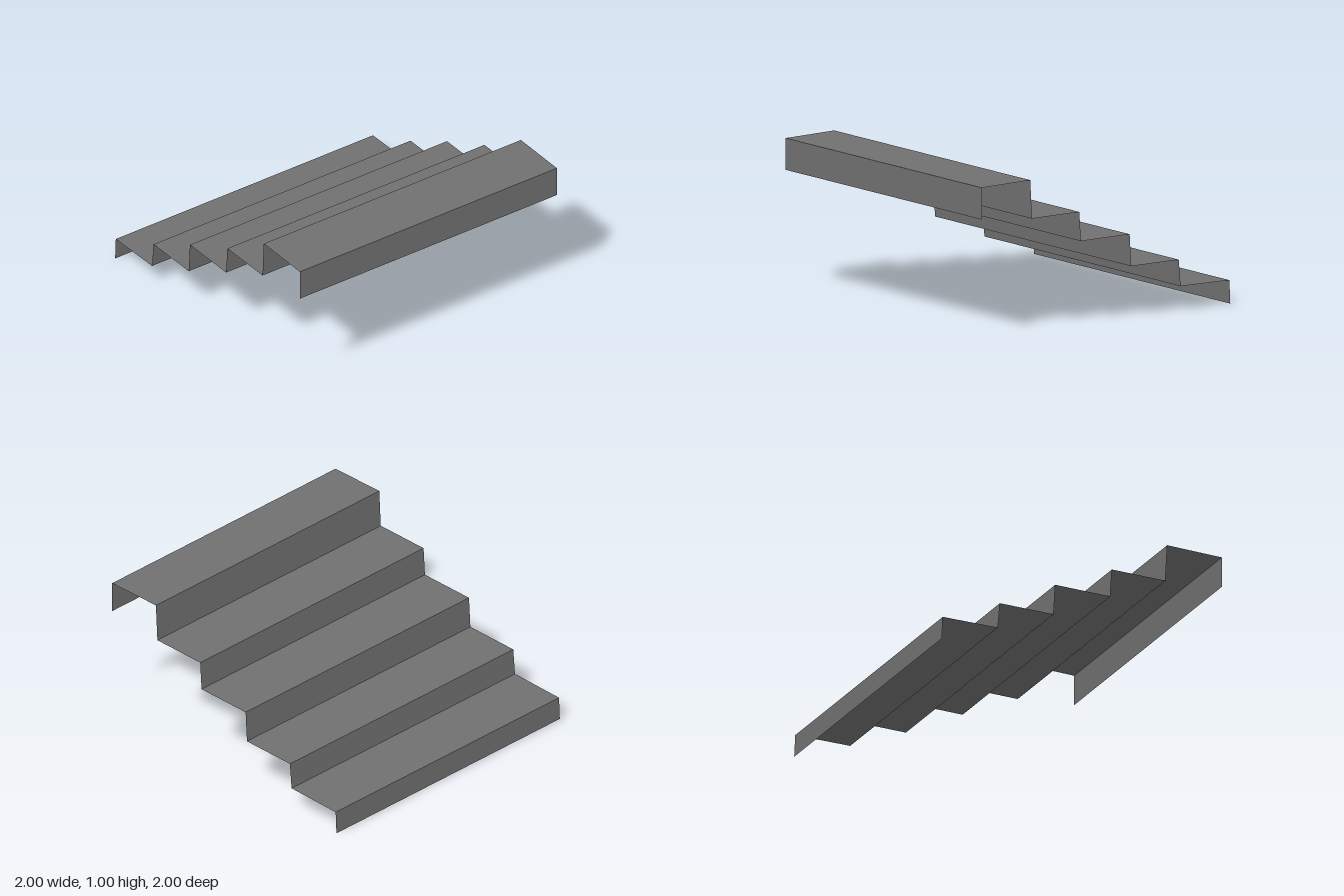
import * as THREE from 'three';

// Side profile of the folded sheet as [z, y], from the front lip back and down
const PROFILE = [
  [1, 0.795], [1, 1], [0.61, 1], [0.597, 0.75], [0.215, 0.745], [0.203, 0.555],
  [-0.19, 0.55], [-0.202, 0.342], [-0.585, 0.336], [-0.6, 0.163], [-0.993, 0.152], [-1, 0],
];
const HALF_WIDTH = 1;

// One flat panel spanning the full width between two profile points
function panel(name, [z0, y0], [z1, y1], material) {
  const geometry = new THREE.BufferGeometry();
  geometry.setAttribute('position', new THREE.Float32BufferAttribute([
    -HALF_WIDTH, y0, z0, HALF_WIDTH, y0, z0,
    HALF_WIDTH, y1, z1, -HALF_WIDTH, y1, z1,
  ], 3));
  geometry.setIndex([0, 1, 2, 0, 2, 3]);
  geometry.computeVertexNormals();
  const mesh = new THREE.Mesh(geometry, material);
  mesh.name = name;
  return mesh;
}

export function createModel() {
  const stairs = new THREE.Group();
  stairs.name = 'stairs';
  const grey = new THREE.MeshStandardMaterial({ color: 0x707070, side: THREE.DoubleSide });
  grey.name = 'stair grey';

  // Front lip first, then alternating treads and risers
  for (let i = 0; i < PROFILE.length - 1; i++) {
    const step = Math.ceil(i / 2);
    const name = i === 0 ? 'frontLip' : i % 2 ? `tread${step}` : `riser${step}`;
    stairs.add(panel(name, PROFILE[i], PROFILE[i + 1], grey));
  }
  return stairs;
}
